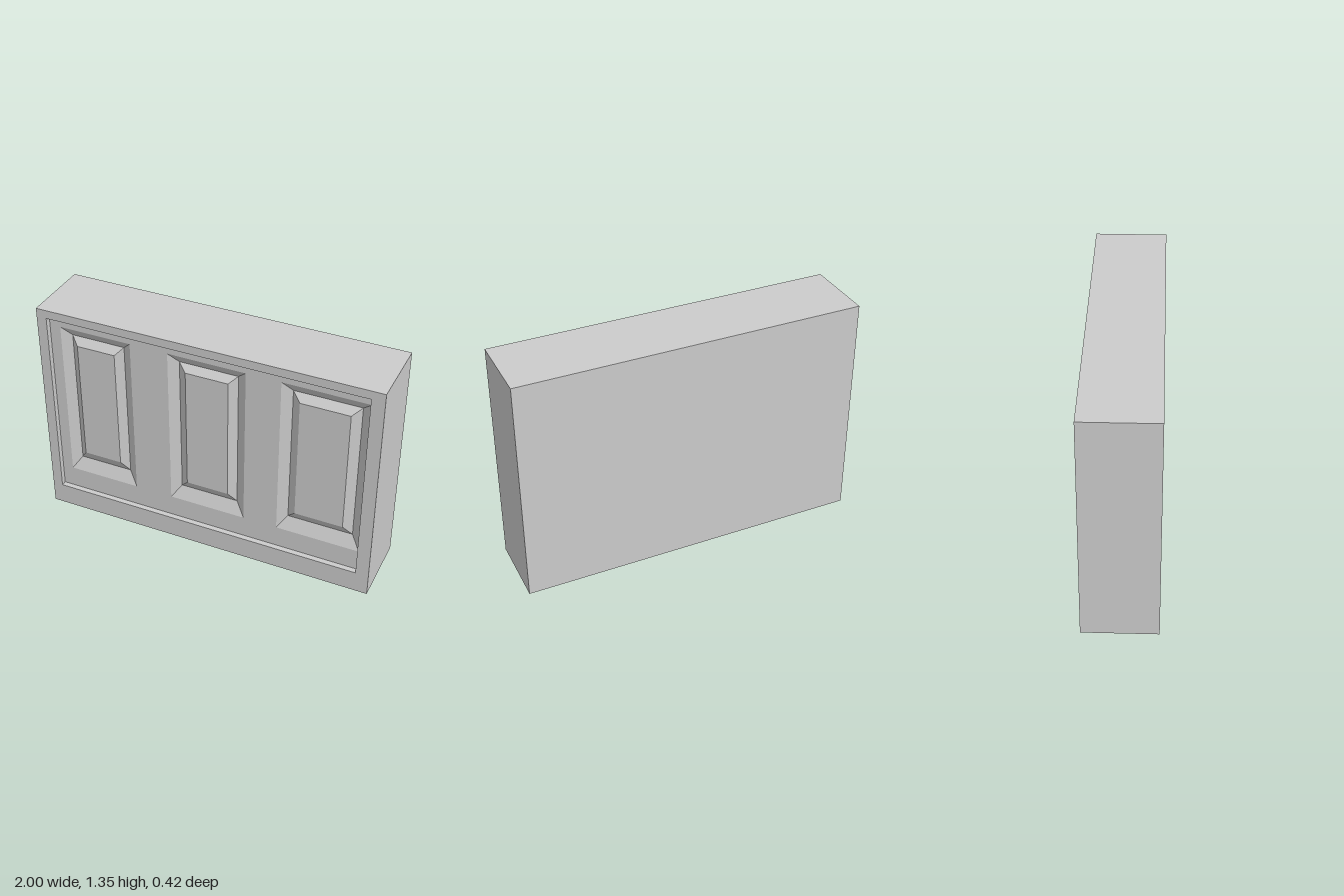
import * as THREE from 'three';

const material = new THREE.MeshStandardMaterial({ color: 0xcccccc, flatShading: true });

// Rectangle in the XY plane at depth z, corners counter-clockwise seen from the front
const rect = (x0, x1, y0, y1, z) => [[x0, y0, z], [x1, y0, z], [x1, y1, z], [x0, y1, z]];

// Joins a chain of rectangles with flat faces; either end may be closed
function loftRects(rects, { capStart = false, capEnd = false }) {
  const pos = [];
  const quad = (a, b, c, d) => pos.push(...a, ...b, ...c, ...a, ...c, ...d);
  for (let i = 0; i < rects.length - 1; i++) {
    const A = rects[i], B = rects[i + 1];
    for (let k = 0; k < 4; k++) {
      const n = (k + 1) % 4;
      quad(A[k], A[n], B[n], B[k]);
    }
  }
  if (capStart) quad(...[...rects[0]].reverse());
  if (capEnd) quad(...rects[rects.length - 1]);
  const geo = new THREE.BufferGeometry();
  geo.setAttribute('position', new THREE.Float32BufferAttribute(pos, 3));
  geo.computeVertexNormals();
  return geo;
}

export function createModel() {
  const group = new THREE.Group();
  const add = (name, geo) => {
    const mesh = new THREE.Mesh(geo, material);
    mesh.name = name;
    group.add(mesh);
  };

  const H = 1.345, front = 0.21;
  const floorZ = front - 0.032, grooveZ = front - 0.066;
  const recess = [-0.94, 0.925, 0.13, 1.295];

  // Solid block: back, sides, front border and the walls of the shallow recess
  add('block', loftRects([
    rect(-1, 1, 0, H, -front),
    rect(-1, 1, 0, H, front),
    rect(...recess, front),
    rect(...recess, floorZ),
  ], { capStart: true }));

  // Panels: outer edge, bottom of the bevelled groove, raised field
  const panels = [
    { name: 'rightPanel', outer: [-0.875, -0.445], groove: [-0.82, -0.5], field: [-0.775, -0.545, 0.405, 1.14] },
    { name: 'middlePanel', outer: [-0.22, 0.235], groove: [-0.165, 0.18], field: [-0.115, 0.135, 0.4, 1.145] },
    { name: 'leftPanel', outer: [0.435, 0.923], groove: [0.49, 0.87], field: [0.54, 0.82, 0.4, 1.14] },
  ];

  // Recess floor with an opening for each panel
  const toPoints = (r) => r.map(([x, y]) => new THREE.Vector2(x, y));
  const floor = new THREE.Shape(toPoints(rect(...recess, 0)));
  for (const p of panels) {
    const edge = rect(...p.outer, 0.26, 1.24, floorZ);
    floor.holes.push(new THREE.Path(toPoints(edge)));
    add(p.name, loftRects([
      edge,
      rect(...p.groove, 0.34, 1.185, grooveZ),
      rect(...p.field, floorZ),
    ], { capEnd: true }));
  }
  add('recessFloor', new THREE.ShapeGeometry(floor).translate(0, 0, floorZ));

  return group;
}
